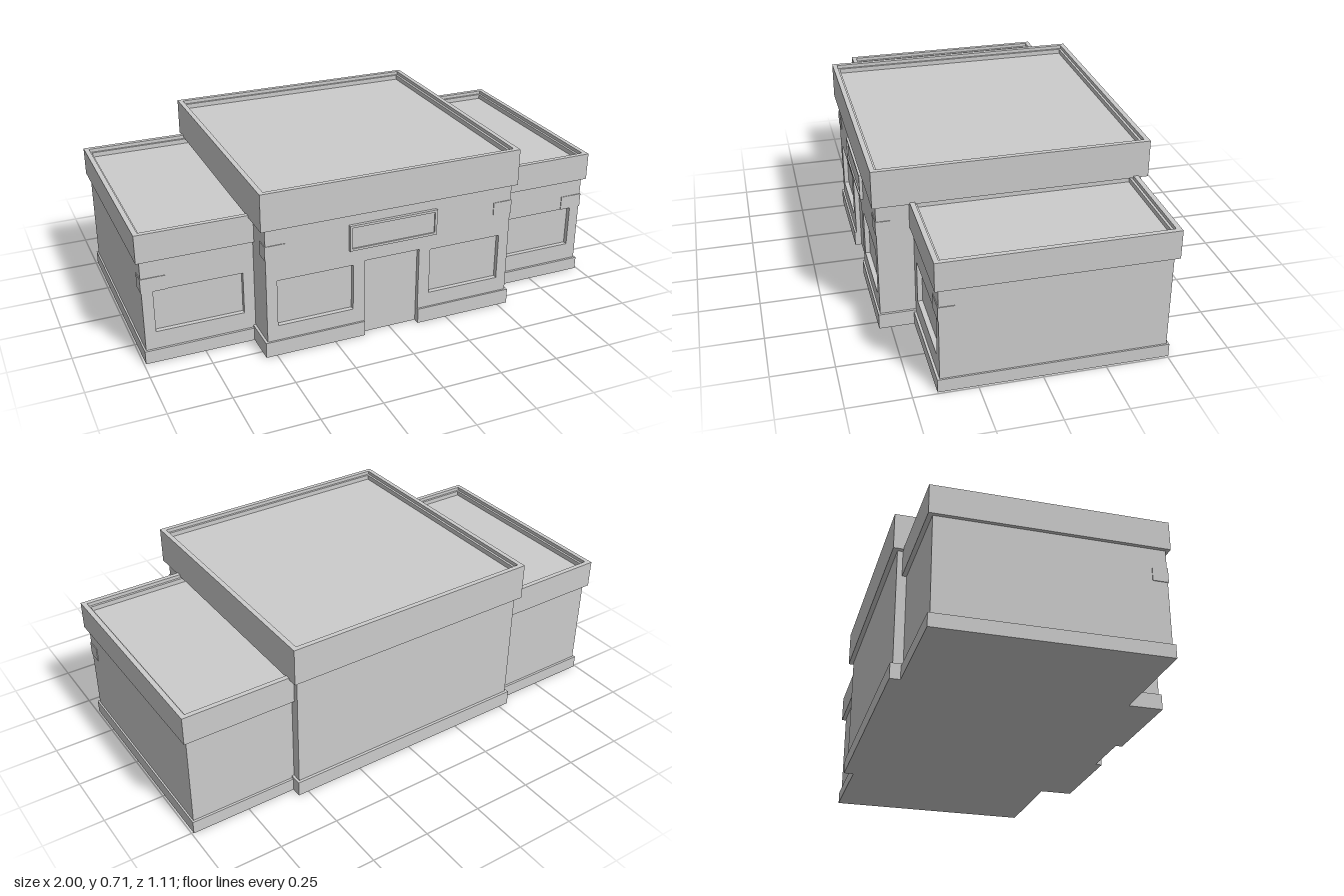
import * as THREE from 'three';

const material = new THREE.MeshStandardMaterial({ color: 0xcccccc, flatShading: true });

export function createModel() {
  const model = new THREE.Group();
  model.name = 'building';

  const add = (name, geometry) => {
    const mesh = new THREE.Mesh(geometry, material);
    mesh.name = name;
    model.add(mesh);
    return mesh;
  };

  // Box given by its minimum and maximum corners
  const box = (name, x0, x1, y0, y1, z0, z1) =>
    add(name, new THREE.BoxGeometry(x1 - x0, y1 - y0, z1 - z0))
      .position.set((x0 + x1) / 2, (y0 + y1) / 2, (z0 + z1) / 2);

  // The same box on one side (s = 1 left, s = -1 right)
  const sideBox = (name, s, x0, x1, ...rest) =>
    box(name, Math.min(s * x0, s * x1), Math.max(s * x0, s * x1), ...rest);

  const rect = (Kind, x0, x1, y0, y1) => {
    const p = new Kind();
    p.moveTo(x0, y0).lineTo(x1, y0).lineTo(x1, y1).lineTo(x0, y1).closePath();
    return p;
  };

  const extrude = (shape, depth) =>
    new THREE.ExtrudeGeometry(shape, { depth, bevelEnabled: false });

  // Roof block with a two-stepped raised rim
  const parapet = (name, x0, x1, y0, y1, z0, z1) => {
    box(name + 'Roof', x0, x1, y0, y1 - 0.035, z0, z1);
    for (const [outer, inner, height] of [[0, 0.02, 0.035], [0.02, 0.03, 0.02]]) {
      const ring = rect(THREE.Shape, x0 + outer, x1 - outer, -z1 + outer, -z0 - outer);
      ring.holes.push(rect(THREE.Path, x0 + inner, x1 - inner, -z1 + inner, -z0 - inner));
      const rim = add(name + 'Rim', extrude(ring, height));
      rim.rotation.x = -Math.PI / 2;
      rim.position.y = y1 - 0.035;
    }
  };

  // Central hall with a front wall pierced by a door and two windows
  box('hallBody', -0.535, 0.535, 0, 0.56, -0.535, 0.52);
  const front = new THREE.Shape();
  front.moveTo(-0.535, 0).lineTo(-0.12, 0).lineTo(-0.12, 0.34).lineTo(0.12, 0.34)
    .lineTo(0.12, 0).lineTo(0.535, 0).lineTo(0.535, 0.56).lineTo(-0.535, 0.56).closePath();
  front.holes.push(rect(THREE.Path, -0.49, -0.17, 0.13, 0.33));
  front.holes.push(rect(THREE.Path, 0.17, 0.49, 0.13, 0.33));
  add('hallFrontWall', extrude(front, 0.02)).position.z = 0.52;
  parapet('hall', -0.555, 0.555, 0.555, 0.71, -0.555, 0.555);

  // Hall plinth, broken at the doorway
  box('hallPlinth', -0.545, 0.545, 0, 0.065, -0.547, 0.515);
  for (const s of [1, -1]) {
    sideBox('hallFrontPlinth', s, 0.12, 0.545, 0, 0.065, 0.515, 0.548);
    sideBox('hallCornerBlock', s, 0.455, 0.538, 0.425, 0.485, 0.485, 0.543);
  }

  // Blank sign board with a raised frame
  box('signBoard', -0.18, 0.18, 0.41, 0.50, 0.535, 0.547);
  const frame = rect(THREE.Shape, -0.19, 0.19, 0.4, 0.51);
  frame.holes.push(rect(THREE.Path, -0.18, 0.18, 0.41, 0.5));
  add('signFrame', extrude(frame, 0.015)).position.z = 0.538;

  // Side wings
  for (const s of [1, -1]) {
    const span = (a, b) => (s > 0 ? [a, b] : [-b, -a]);
    sideBox('wingBody', s, 0.5, 0.985, 0, 0.45, -0.495, 0.375);
    const wall = rect(THREE.Shape, ...span(0.5, 0.985), 0, 0.45);
    wall.holes.push(rect(THREE.Path, ...span(0.58, 0.94), 0.13, 0.31));
    add('wingFrontWall', extrude(wall, 0.02)).position.z = 0.375;
    sideBox('wingPlinth', s, 0.5, 0.992, 0, 0.055, -0.505, 0.405);
    parapet('wing', ...span(0.5, 1), 0.445, 0.563, -0.513, 0.41);
    sideBox('wingCornerBlock', s, 0.89, 0.988, 0.31, 0.37, 0.335, 0.398);
  }

  return model;
}
